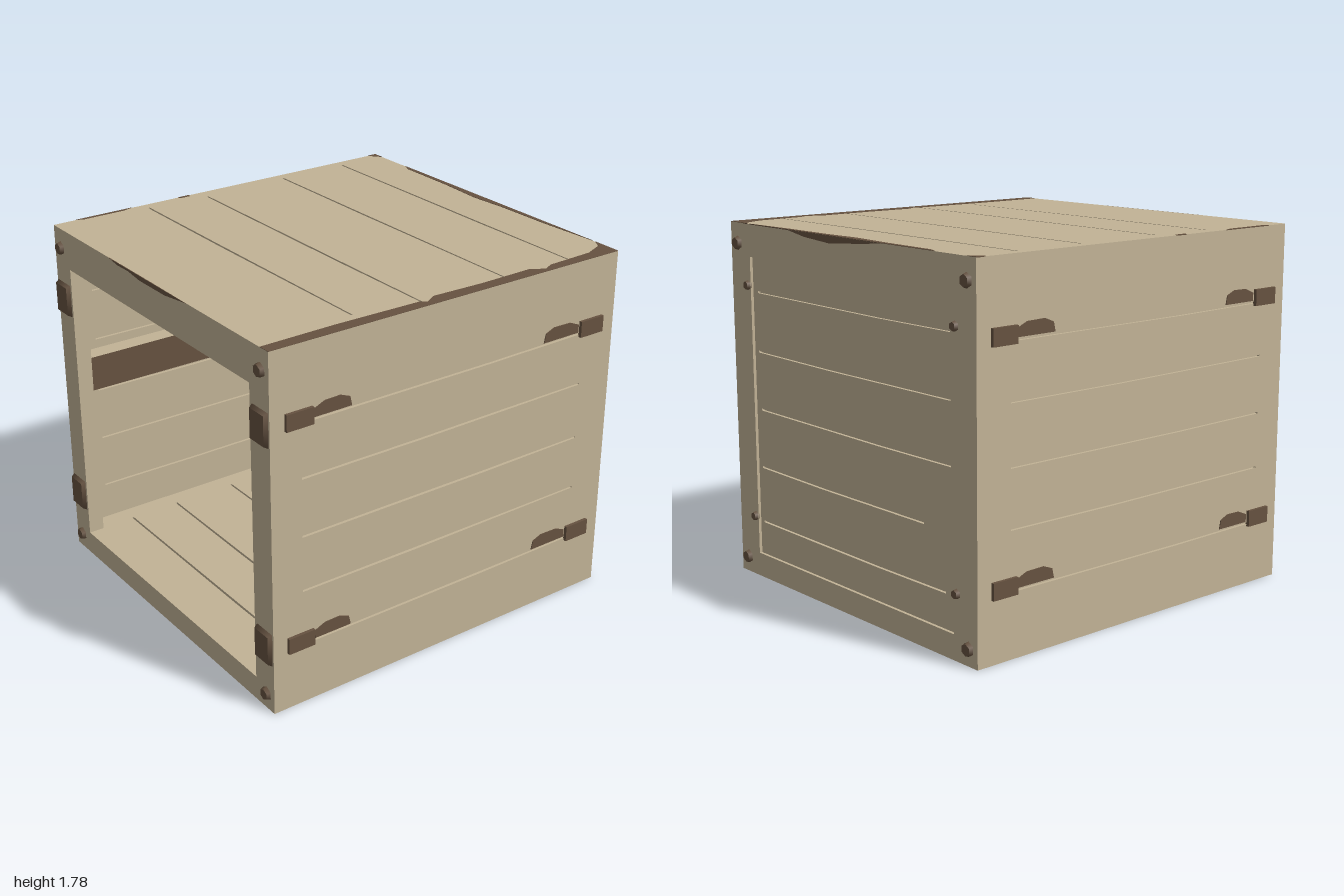
import * as THREE from 'three';

const tan = new THREE.MeshStandardMaterial({ color: 0xc2b396 });
tan.name = 'paleWood';
const brown = new THREE.MeshStandardMaterial({ color: 0x665240 });
brown.name = 'darkBrown';

export function createModel() {
  const root = new THREE.Group();
  root.name = 'openCrate';

  const add = (name, geo, mat, x, y, z, parent = root) => {
    const m = new THREE.Mesh(geo, mat);
    m.name = name;
    m.position.set(x, y, z);
    parent.add(m);
    return m;
  };
  const box = (name, mat, x0, x1, y0, y1, z0, z1, parent) =>
    add(name, new THREE.BoxGeometry(x1 - x0, y1 - y0, z1 - z0), mat,
      (x0 + x1) / 2, (y0 + y1) / 2, (z0 + z1) / 2, parent);
  const poly = (pts, C = THREE.Shape) => new C(pts.map(p => new THREE.Vector2(p[0], p[1])));
  const rect = (x0, x1, y0, y1) => [[x0, y0], [x1, y0], [x1, y1], [x0, y1]];
  const extrude = (shape, depth) => new THREE.ExtrudeGeometry(shape, { depth, bevelEnabled: false });

  // Plank panel: a core between two plates cut with slender tapered grooves.
  // Local z = 0 is the outer face; slots are [x0, x1, y].
  function panel(name, x0, x1, y0, y1, thick, slots) {
    const g = new THREE.Group();
    g.name = name;
    const shape = poly(rect(x0, x1, y0, y1));
    slots.forEach(([a, b, y], i) => {
      const m = a + (b - a) * (i % 2 ? 0.4 : 0.65);
      shape.holes.push(poly([[a, y - 0.004], [m, y - 0.008], [b, y - 0.004],
        [b, y + 0.004], [m, y + 0.004], [a, y + 0.006]], THREE.Path));
    });
    const plate = extrude(shape, 0.015);
    add('outerPlanks', plate, tan, 0, 0, -0.015, g);
    add('innerPlanks', plate, tan, 0, 0, -thick, g);
    box('panelCore', tan, x0, x1, y0, y1, -thick + 0.015, -0.015, g);
    root.add(g);
    return g;
  }

  // Top
  const top = panel('topPanel', -0.93, 0.93, -0.98, 0.98, 0.06,
    [[-0.88, 0.87, 0.715], [-0.88, 0.87, 0.33], [-0.86, 0.88, -0.15], [-0.88, 0.82, -0.48]]);
  top.rotation.x = -Math.PI / 2;
  top.position.y = 1.78;

  // Sides
  const sideY = [1.415, 1.15, 0.865, 0.59, 0.312];
  for (const s of [1, -1]) {
    const a = s > 0 ? -0.82 : -0.79;
    const z0 = s > 0 ? -0.9 : -0.88;
    const p = panel(s > 0 ? 'rightPanel' : 'leftPanel', z0, z0 + 1.78, 0, 1.72, 0.04,
      sideY.map(y => [a, a + 1.61, y]));
    p.rotation.y = s * Math.PI / 2;
    p.position.x = s * 0.93;
  }

  // Back, slightly recessed behind a flush border
  const back = panel('backPanel', -0.93, 0.93, 0, 1.72, 0.085,
    [[-0.73, 0.74, 1.45], [-0.74, 0.74, 1.155], [-0.73, 0.74, 0.865], [-0.74, 0.55, 0.57], [-0.74, 0.7, 0.288]]);
  back.rotation.y = Math.PI;
  back.position.z = -0.965;
  const border = poly(rect(-0.93, 0.93, 0, 1.72));
  border.holes.push(poly(rect(-0.77, 0.77, 0.12, 1.62), THREE.Path));
  add('backBorder', extrude(border, 0.015), tan, 0, 0, -0.98);

  // Open front frame
  const frame = poly(rect(-0.93, 0.93, 0, 1.72));
  frame.holes.push(poly(rect(-0.79, 0.785, 0.12, 1.59), THREE.Path));
  add('frontFrame', extrude(frame, 0.08), tan, 0, 0, 0.9);

  // Floor, cross boards and lengthwise boards underneath
  const floor = panel('floorPanel', -0.89, 0.89, -0.9, 0.88, 0.04,
    [[-0.8, 0.8, 0.6], [-0.8, 0.8, 0.25], [-0.8, 0.8, -0.1], [-0.8, 0.8, -0.45], [-0.8, 0.8, -0.72]]);
  floor.rotation.x = -Math.PI / 2;
  floor.position.y = 0.12;
  for (let i = 0; i < 5; i++) {
    const z = -0.86 + i * 0.35;
    box('floorCrossBoard', tan, -0.89, 0.89, 0.04, 0.08, z, z + 0.29);
  }
  for (const [a, b] of [[-0.89, -0.74], [-0.62, -0.4], [-0.395, -0.16], [-0.03, 0.28], [0.285, 0.6], [0.74, 0.89]])
    box('floorRunner', tan, a, b, 0.004, 0.04, -0.88, 0.88);

  // Inner posts and side rails with dark inward faces
  for (const s of [1, -1]) {
    const span = (a, b) => [Math.min(s * a, s * b), Math.max(s * a, s * b)];
    box('innerPost', tan, ...span(0.75, 0.89), 0.12, 1.72, -0.88, -0.79);
    const mats = Array(6).fill(tan);
    mats[s > 0 ? 1 : 0] = brown;
    box('innerRail', mats, ...span(0.795, 0.89), 0.92, 1.1, -0.79, 0.9);
  }

  // Hexagonal bolts
  const bolt = (x, y, z, r, s) => {
    const m = add('bolt', new THREE.CylinderGeometry(r * 0.75, r, 0.025, 6), brown, x, y, z);
    m.rotation.x = s * Math.PI / 2;
  };
  for (const x of [-0.87, 0.87]) {
    for (const y of [0.08, 1.68]) {
      bolt(x, y, 0.987, 0.037, 1);
      bolt(x, y, -0.987, 0.037, -1);
    }
    for (const y of [0.31, 1.48]) bolt(x * 0.91, y, -0.985, 0.026, -1);
  }

  // Front clips, side clips and worn paint beside them
  for (const s of [1, -1]) {
    for (const y of [1.42, 0.335]) {
      const clip = add('frontClip', new THREE.CylinderGeometry(0.073, 0.084, 0.02, 4, 1).rotateY(Math.PI / 4),
        brown, s * 0.862, y, 0.99);
      clip.rotation.x = Math.PI / 2;
      clip.scale.z = 1.38;
    }
    for (const y of [1.4, 0.297]) {
      for (const e of [1, -1]) {
        const c = e > 0 ? 0.835 : -0.832;
        box('sideClip', brown, s * 0.936 - 0.01, s * 0.936 + 0.01, y, y + 0.08, c - 0.07, c + 0.07);
        const inner = e > 0 ? 0.56 : 0.54;
        const pts = [[0.755, y + 0.025], [inner, y + 0.025], [inner + 0.01, y + 0.07],
          [inner + 0.06, y + 0.09], [0.7, y + 0.088], [0.755, y + 0.065]];
        const wear = add('sideWear', extrude(poly(pts.map(p => [-s * e * p[0], p[1]])), 0.004), brown, s * 0.93, 0, 0);
        wear.rotation.y = s * Math.PI / 2;
      }
    }
  }

  // Worn edges of the top
  const wear = (name, pts, depth = 0.004) => add(name, extrude(poly(pts), depth), brown, 0, 0, 0);
  const flat = pts => {
    const m = wear('topEdgeWear', pts.map(([x, z]) => [x, -z]));
    m.rotation.x = -Math.PI / 2;
    m.position.y = 1.778;
  };
  flat([[0.93, -0.98], [0.93, 0.98], [0.87, 0.98], [0.865, 0.6], [0.875, 0.16], [0.895, 0.13], [0.86, 0.07],
    [0.87, -0.2], [0.865, -0.48], [0.905, -0.55], [0.88, -0.6], [0.87, -0.85], [0.83, -0.95], [0.78, -0.98]]);
  flat([[-0.66, -0.98], [0.76, -0.98], [0.45, -0.96], [0.15, -0.955], [-0.05, -0.94], [-0.3, -0.955], [-0.62, -0.96]]);
  flat([[-0.93, -0.98], [-0.87, -0.98], [-0.93, -0.93]]);
  flat([[-0.93, 0.55], [-0.915, 0.6], [-0.915, 0.82], [-0.93, 0.86]]);
  flat([[-0.93, 0.21], [-0.915, 0.22], [-0.915, 0.27], [-0.93, 0.28]]);

  wear('frontEdgeWear', [[-0.38, 1.78], [-0.3, 1.768], [-0.2, 1.77], [-0.1, 1.757], [0.12, 1.758], [0.2, 1.768], [0.3, 1.78]])
    .position.z = 0.978;
  wear('backEdgeWear', [[-0.3, 1.78], [-0.15, 1.765], [0.1, 1.745], [0.3, 1.758], [0.44, 1.78]])
    .position.z = -0.982;

  return root;
}
